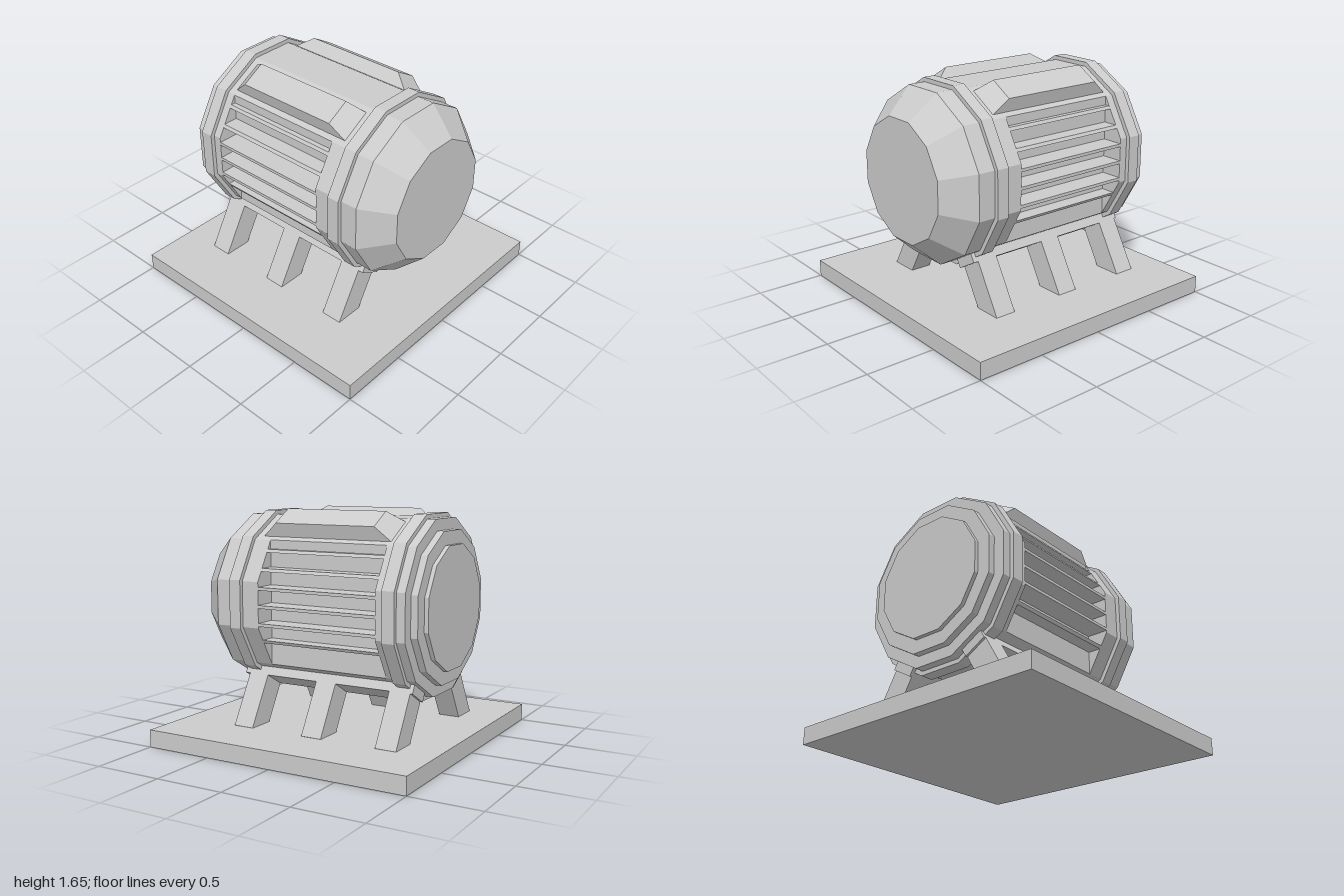
import * as THREE from 'three';

export function createModel() {
  const model = new THREE.Group();
  model.name = 'motor';
  const mat = new THREE.MeshStandardMaterial({ color: 0xcccccc, flatShading: true });
  const add = (parent, name, geo) => {
    const mesh = new THREE.Mesh(geo, mat);
    mesh.name = name;
    parent.add(mesh);
    return mesh;
  };

  // Base plate
  add(model, 'basePlate', new THREE.BoxGeometry(2, 0.125, 2).translate(0, 0.0625, 0));

  // Drum group, axis along z at height 1
  const drum = new THREE.Group();
  drum.name = 'drum';
  drum.position.y = 1;
  model.add(drum);

  // Twelve-sided turned part from [flat distance, z] pairs, running back to front
  const turned = (name, profile) => {
    const pts = profile.map(([a, z]) => new THREE.Vector2(a / Math.cos(Math.PI / 12), z));
    add(drum, name, new THREE.LatheGeometry(pts, 12, Math.PI / 12).rotateX(Math.PI / 2));
  };
  turned('rearHousing', [
    [0, -0.86], [0.425, -0.86], [0.425, -0.83], [0.52, -0.83], [0.52, -0.78], [0.6, -0.78],
    [0.6, -0.717], [0.63, -0.717], [0.63, -0.625], [0.6, -0.625], [0.6, -0.565], [0, -0.565],
  ]);
  turned('frontHousing', [
    [0, 0.345], [0.6, 0.345], [0.6, 0.475], [0.63, 0.475], [0.63, 0.565], [0.6, 0.565],
    [0.6, 0.69], [0.425, 0.885], [0, 0.885],
  ]);

  // Middle section: recessed flat sides carrying cooling fins flush with the drum
  const c = 0.4392, e = 0.1608;
  const flankX = (y) => (Math.abs(y) <= e ? 0.6 : 0.6 - (Math.abs(y) - e) * (0.6 - e - 0.0000) / (c - e) * 0.3665);
  const core = new THREE.Shape([
    [e, -0.6], [c, -c], [c, c], [e, 0.6], [-e, 0.6], [-c, c], [-c, -c], [-e, -0.6],
  ].map(([x, y]) => new THREE.Vector2(x, y)));
  const length = 0.91;
  const extrude = (shape) =>
    new THREE.ExtrudeGeometry(shape, { depth: length, bevelEnabled: false }).translate(0, 0, -0.565);
  add(drum, 'middleSection', extrude(core));

  for (const side of [1, -1]) {
    for (let i = 0; i < 6; i++) {
      const lo = 0.355 - i * 0.1255, hi = lo + 0.022;
      const fin = new THREE.Shape([
        [c - 0.02, lo], [flankX(lo), lo], [flankX(hi), hi], [c - 0.02, hi],
      ].map(([x, y]) => new THREE.Vector2(side * x, y)));
      add(drum, 'coolingFin', extrude(fin));
    }

    // Raised cover with tapered sides and ends on the upper slanted face
    const cover = new THREE.BoxGeometry(0.245, 0.11, 1.03);
    const p = cover.attributes.position;
    for (let i = 0; i < p.count; i++) {
      if (p.getY(i) > 0) p.setXYZ(i, p.getX(i) * 0.77, p.getY(i), p.getZ(i) * 0.75);
    }
    cover.translate(0, 0.641, -0.077);
    add(drum, 'topCover', cover).rotation.z = -side * Math.PI / 6;

    // Support rail and three legs, pointing outward and down from the drum axis
    const support = new THREE.Group();
    support.name = 'support';
    support.rotation.z = side * Math.PI / 6;
    drum.add(support);
    add(support, 'rail', new THREE.BoxGeometry(0.18, 0.07, 1.34).translate(0, -0.629, -0.075));
    for (const z of [0.48, -0.08, -0.65]) {
      add(support, 'leg', new THREE.BoxGeometry(0.18, 0.4, 0.155).translate(0, -0.86, z));
    }
  }
  return model;
}
